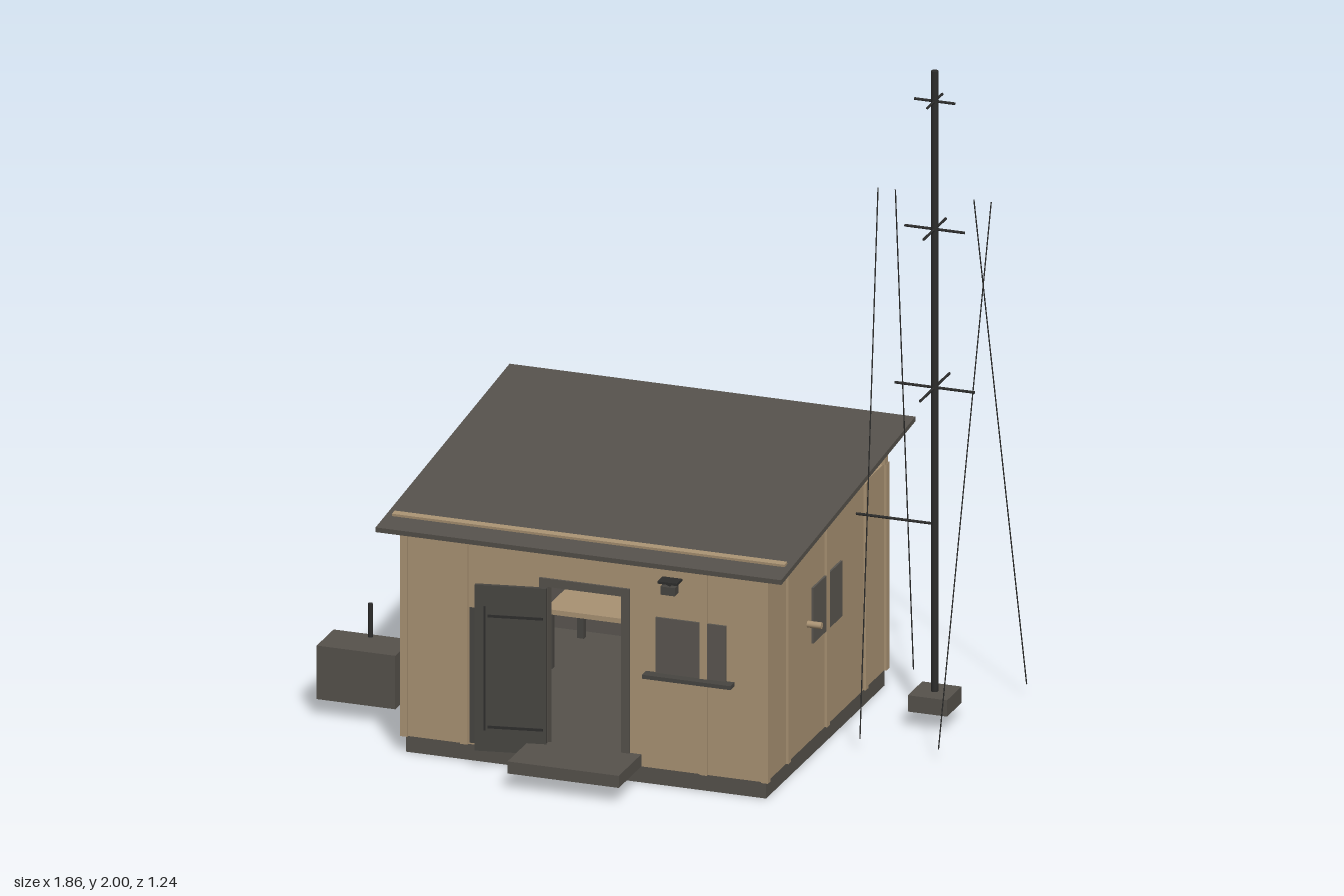
import * as THREE from 'three';

export function createModel() {
  const root = new THREE.Group();
  const mat = (name, color) => {
    const m = new THREE.MeshStandardMaterial({ color });
    m.name = name;
    return m;
  };
  const timber = mat('tan timber', 0xa99273);
  const slate = mat('slate grey', 0x56524c);
  const charcoal = mat('door charcoal', 0x474541);
  const iron = mat('dark iron', 0x2d2d2c);
  const glass = mat('window grey', 0x5a5650);

  const add = (name, geo, m, parent = root) => {
    const mesh = new THREE.Mesh(geo, m);
    mesh.name = name;
    parent.add(mesh);
    return mesh;
  };
  // Box from its low and high corners
  const box = (name, m, x0, x1, y0, y1, z0, z1, parent = root) => {
    const mesh = add(name, new THREE.BoxGeometry(x1 - x0, y1 - y0, z1 - z0), m, parent);
    mesh.position.set((x0 + x1) / 2, (y0 + y1) / 2, (z0 + z1) / 2);
    return mesh;
  };
  // Round bar between two points
  const rod = (name, m, a, b, r, sides = 8, parent = root) => {
    const p = new THREE.Vector3(...a), q = new THREE.Vector3(...b);
    const d = q.clone().sub(p);
    const mesh = add(name, new THREE.CylinderGeometry(r, r, d.length(), sides), m, parent);
    mesh.position.copy(p).add(q).multiplyScalar(0.5);
    mesh.quaternion.setFromUnitVectors(new THREE.Vector3(0, 1, 0), d.normalize());
    return mesh;
  };

  // Foundation and floor
  box('foundation', slate, -0.59, 0.51, 0, 0.055, -0.55, 0.43);

  // Walls, with a doorway in the front one
  const [L, R, B, F, Y0, Y1, T] = [-0.597, 0.512, -0.555, 0.433, 0.05, 0.683, 0.025];
  const walls = new THREE.Group();
  walls.name = 'walls';
  root.add(walls);
  box('backWall', timber, L, R, Y0, Y1, B, B + T, walls);
  box('leftWall', timber, L, L + T, Y0, Y1, B + T, F - T, walls);
  box('rightWall', timber, R - T, R, Y0, Y1, B + T, F - T, walls);
  box('frontWallLeftPart', timber, L, -0.165, Y0, Y1, F - T, F, walls);
  box('frontWallRightPart', timber, 0.08, R, Y0, Y1, F - T, F, walls);
  box('doorHeader', timber, -0.165, 0.08, 0.575, Y1, F - T, F, walls);

  // Vertical battens and corner posts
  const battens = new THREE.Group();
  battens.name = 'battens';
  root.add(battens);
  const P = 0.008, W = 0.011;
  for (const x of [-0.41, -0.042, 0.322]) {
    box('backBatten', timber, x - W, x + W, Y0, Y1, B - P, B, battens);
    if (x !== -0.042) box('frontBatten', timber, x - W, x + W, Y0, Y1, F, F + P, battens);
  }
  for (const z of [0.26, -0.06, -0.38]) {
    box('leftBatten', timber, L - P, L, Y0, Y1, z - W, z + W, battens);
    box('rightBatten', timber, R, R + P, Y0, Y1, z - W, z + W, battens);
  }
  for (const x of [L, R]) for (const z of [B, F]) {
    const cx = x - Math.sign(x) * 0.003, cz = z - Math.sign(z) * 0.003;
    box('cornerPost', timber, cx - W, cx + W, Y0, Y1, cz - W, cz + W, battens);
  }

  // Sloping roof with a strip across its low edge
  const roof = new THREE.Group();
  roof.name = 'roof';
  roof.position.set(-0.04, 0.748, -0.061);
  roof.rotation.x = Math.atan2(0.11, 1.11);
  root.add(roof);
  box('roofSheet', slate, -0.62, 0.62, -0.0075, 0.0075, -0.557, 0.557, roof);
  box('roofStrip', timber, -0.6, 0.6, 0.0075, 0.015, 0.452, 0.474, roof);
  box('roofPlate', timber, -0.605, 0.525, 0.69, 0.715, -0.537, -0.513);

  // Windows: thin panes with the batten running past them
  const windows = new THREE.Group();
  windows.name = 'windows';
  root.add(windows);
  for (const [a, b] of [[0.175, 0.311], [0.333, 0.39]])
    box('frontPane', glass, a, b, 0.345, 0.515, F, F + 0.006, windows);
  for (const [a, b] of [[-0.18, -0.071], [-0.049, 0.06]])
    box('rightPane', glass, R, R + 0.006, 0.345, 0.515, a, b, windows);
  for (const [a, b] of [[-0.185, -0.053], [-0.031, 0.105]])
    box('backPane', glass, a, b, 0.33, 0.515, B - 0.006, B, windows);
  box('windowSill', charcoal, 0.145, 0.415, 0.333, 0.345, F, F + 0.035, windows);

  // Door frame and the door standing open
  for (const [a, b] of [[-0.18, -0.155], [0.07, 0.095]])
    box('doorJamb', slate, a, b, Y0, 0.59, F - 0.03, F + 0.007);
  box('doorLintel', slate, -0.155, 0.07, 0.565, 0.59, F - 0.03, F + 0.007);
  box('doorBackPanel', charcoal, -0.395, -0.18, 0.055, 0.47, F, F + 0.002);
  const door = new THREE.Group();
  door.name = 'door';
  door.position.set(-0.155, 0, 0.446);
  door.rotation.y = 0.185;
  root.add(door);
  box('doorLeaf', charcoal, -0.208, 0, 0.055, 0.563, -0.006, 0.006, door);
  box('doorHandle', iron, -0.182, -0.176, 0.12, 0.5, 0.006, 0.011, door);
  for (const y of [0.13, 0.47])
    box('hingeStrap', iron, -0.17, -0.01, y - 0.004, y + 0.004, 0.006, 0.008, door);
  box('doorStep', slate, -0.21, 0.13, 0.05, 0.087, 0.43, 0.62);

  // Interior lining and furniture
  box('backLining', glass, L + T, R - T, 0.056, 0.68, B + T, B + T + 0.004);
  const desk = new THREE.Group();
  desk.name = 'desk';
  root.add(desk);
  box('deskTop', timber, -0.4, 0.0, 0.225, 0.24, -0.5, -0.2, desk);
  box('deskDevice', charcoal, -0.145, 0.0, 0.24, 0.335, -0.42, -0.26, desk);
  for (const x of [-0.39, -0.02]) for (const z of [-0.48, -0.22])
    box('deskLeg', charcoal, x - 0.01, x + 0.01, 0.055, 0.225, z - 0.01, z + 0.01, desk);
  box('stool', timber, -0.11, -0.03, 0.185, 0.2, -0.15, -0.07);
  rod('stoolLeg', charcoal, [-0.07, 0.055, -0.11], [-0.07, 0.185, -0.11], 0.01);
  for (const y of [0.09, 0.17, 0.25, 0.33])
    box('shelfBoard', charcoal, 0.005, 0.2, y, y + 0.01, -0.5, -0.3);
  for (const x of [0.0, 0.2])
    box('shelfSide', charcoal, x, x + 0.01, 0.055, 0.34, -0.5, -0.3);

  // Lamp beside the door and a pipe stub on the right wall
  box('lampCap', iron, 0.195, 0.255, 0.634, 0.641, F, F + 0.044);
  box('lampArm', iron, 0.221, 0.229, 0.62, 0.636, F, F + 0.03);
  box('lampBody', charcoal, 0.203, 0.247, 0.6, 0.625, F + 0.008, F + 0.04);
  rod('wallPipe', timber, [R, 0.415, 0.09], [0.555, 0.415, 0.09], 0.01, 12);

  // Fuel tank with its vent pipe
  box('tank', slate, -0.93, -0.69, 0.053, 0.217, 0.11, 0.25);
  rod('tankVent', iron, [-0.81, 0.2, 0.13], [-0.81, 0.32, 0.13], 0.007);

  // Mast with crossbars, wall brace and guy wires
  const mast = new THREE.Group();
  mast.name = 'mast';
  root.add(mast);
  const mx = 0.752, mz = -0.31;
  box('mastBase', slate, mx - 0.06, mx + 0.06, 0.05, 0.1, mz - 0.06, mz + 0.06, mast);
  rod('mastPole', iron, [mx, 0.1, mz], [mx, 2, mz], 0.011, 10, mast);
  for (const [y, h] of [[1.03, 0.122], [1.515, 0.092], [1.907, 0.062]]) {
    rod('crossbar', iron, [mx - h, y, mz], [mx + h, y, mz], 0.004, 6, mast);
    rod('crossbar', iron, [mx, y, mz - h], [mx, y, mz + h], 0.004, 6, mast);
  }
  rod('wallBrace', iron, [R, 0.612, mz], [mx, 0.612, mz], 0.004, 6, mast);
  for (const s of [-1, 1]) {
    rod('guyWire', iron, [mx + s * 0.173, 0.04, mz - 0.293], [mx + s * 0.12, 1.62, mz], 0.002, 5, mast);
    rod('guyWire', iron, [mx + s * 0.12, 0.04, mz + 0.293], [mx + s * 0.173, 1.62, mz], 0.002, 5, mast);
  }
  return root;
}
